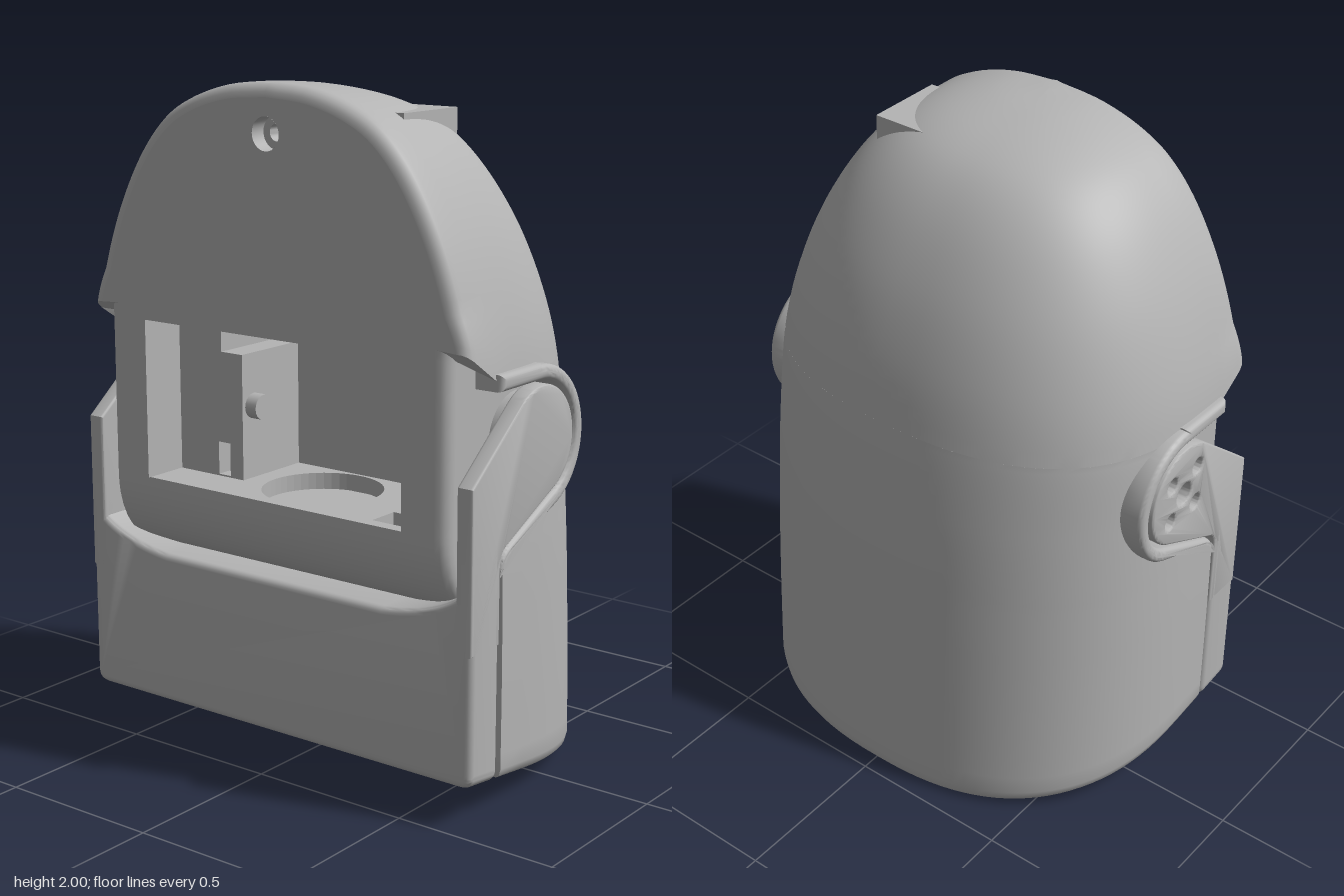
import * as THREE from 'three';
import { toCreasedNormals } from 'three/addons/utils/BufferGeometryUtils.js';

const FRONT = 0.45, LOW_FRONT = 0.305, POCKET_X = 0.615, SHELF_Y = 1.23;
const HINGE = { z: 0.12, y: 1.035 };
const clamp = THREE.MathUtils.clamp;

// half width (x), height (y) and back depth (z) of the shell
const profile = new THREE.CatmullRomCurve3([
  [0, 2, 0.4], [0.15, 1.987, 0.23], [0.29, 1.945, 0.06], [0.385, 1.89, -0.04], [0.478, 1.79, -0.135],
  [0.574, 1.62, -0.235], [0.642, 1.43, -0.307], [0.68, 1.25, -0.35], [0.693, 1, -0.388],
  [0.702, 0.7, -0.415], [0.705, 0.4, -0.435], [0.705, 0, -0.455],
].map((p) => new THREE.Vector3(...p))).getPoints(400);

// shell size at a height, with the outward direction of its front outline
function shellAt(y) {
  let i = 1;
  while (i < profile.length - 1 && profile[i].y > y) i++;
  const a = profile[i - 1], b = profile[i];
  const { x: w, z: zb } = a.clone().lerp(b, clamp((a.y - y) / (a.y - b.y), 0, 1));
  return { w, zb, out: new THREE.Vector2(a.y - b.y, b.x - a.x).normalize() };
}

// rear edge of the side pocket that takes the bracket arm
function pocketEdge(y) {
  if (y < 0.74) return LOW_FRONT;
  if (y < 0.847) return THREE.MathUtils.lerp(LOW_FRONT, 0.04, (y - 0.74) / 0.107);
  return HINGE.z - Math.sqrt(Math.max(0, 0.04 - (y - HINGE.y) ** 2));
}

// one horizontal section, from the front round one side to the back, then mirrored
function section({ y, pocket, scale = 1, lift = 0 }) {
  const { w, zb, out } = shellAt(y);
  let front = FRONT;
  if (y < 0.8) front = y <= 0.58 ? LOW_FRONT : LOW_FRONT + 0.145 * Math.sqrt(1 - ((0.8 - y) / 0.22) ** 2);
  const zc = zb + (FRONT - zb) * 0.72;
  const r = Math.min(0.04, (front - LOW_FRONT) * 0.5);
  const fx = pocket ? POCKET_X : w;
  const [nx, ny] = pocket ? [1, 0] : [out.x, out.y];
  const zs = pocket ? pocketEdge(y) : zc + (front - r - zc) * 0.5;
  const n = 2.45;
  const a0 = zs >= zc ? 0 : Math.asin(Math.pow((zc - zs) / (zc - zb), n / 2));
  const half = [];
  for (let i = 0; i <= 4; i++) { // rounded front edge
    const a = i * Math.PI / 8, inset = r * (1 - Math.sin(a));
    half.push([Math.max(0, fx - inset * nx), front - r * (1 - Math.cos(a)), -inset * ny]);
  }
  half.push([fx, zs, 0], [w * Math.pow(Math.cos(a0), 2 / n), zs, 0]);
  for (let i = 0; i <= 28; i++) {
    const a = a0 + (Math.PI / 2 - a0) * i / 28;
    half.push([w * Math.pow(Math.max(0, Math.cos(a)), 2 / n), zc - (zc - zb) * Math.pow(Math.sin(a), 2 / n), 0]);
  }
  half[half.length - 1][0] = 0;
  const ring = half.concat(half.slice(0, -1).reverse().map(([x, z, dy]) => [-x, z, dy]));
  return ring.map(([x, z, dy]) => {
    const slant = (0.12 - (FRONT - z) * 0.13) * Math.max(0, 1 - y / 0.5);
    const shoulder = 0.1 * clamp((z - 0.3) / 0.15, 0, 1) ** 1.3 * Math.max(0, 1 - Math.abs(y - SHELF_Y) / 0.2);
    return new THREE.Vector3(x * scale, y + dy + slant + shoulder + lift, z * scale - 0.04 * (1 - scale));
  });
}

function loft(rows, rings) {
  const pos = [], n = rings[0].length;
  for (let i = 0; i < rings.length - 1; i++) {
    for (let j = 0; j < n; j++) {
      if (j === n - 1 && rows[i + 1].y >= 0.8 - 1e-6) continue; // flat face is made separately
      const k = (j + 1) % n;
      const a = rings[i][j], b = rings[i][k], c = rings[i + 1][j], d = rings[i + 1][k];
      for (const v of [a, c, b, b, c, d]) pos.push(v.x, v.y, v.z);
    }
  }
  const g = new THREE.BufferGeometry();
  g.setAttribute('position', new THREE.Float32BufferAttribute(pos, 3));
  return toCreasedNormals(g, 0.6);
}

function rectPath(x0, y0, x1, y1) {
  return new THREE.Path([[x0, y0], [x0, y1], [x1, y1], [x1, y0]].map((p) => new THREE.Vector2(...p)));
}

const circle = (x, y, r) => new THREE.Path().absarc(x, y, r, 0, Math.PI * 2, true);

// extrude a (z, y) outline sideways between x0 and x1
function sidePlate(shape, x0, x1, bevel) {
  const g = new THREE.ExtrudeGeometry(shape, {
    depth: x1 - x0 - 2 * bevel, bevelSize: bevel, bevelThickness: bevel,
    bevelOffset: -bevel, bevelSegments: 4, curveSegments: 28,
  });
  g.rotateY(-Math.PI / 2).translate(x1 - bevel, 0, 0);
  return toCreasedNormals(g, 0.6);
}

export function createModel() {
  const group = new THREE.Group();
  const grey = new THREE.MeshStandardMaterial({ color: 0xb4b4b4, side: THREE.DoubleSide });
  grey.name = 'grey plastic';
  const add = (name, geometry, x = 0, y = 0, z = 0) => {
    const m = new THREE.Mesh(geometry, grey);
    m.name = name;
    m.position.set(x, y, z);
    group.add(m);
  };
  const block = (name, x0, x1, y0, y1, z0, z1) => add(name, new THREE.BoxGeometry(x1 - x0, y1 - y0, z1 - z0),
    (x0 + x1) / 2, (y0 + y1) / 2, (z0 + z1) / 2);

  // shell: dome, pocketed middle, lower body, rounded rim and underside recess
  const rows = [];
  for (let i = 0; i <= 36; i++) rows.push({ y: 2 - (2 - SHELF_Y) * (i / 36) ** 2 });
  for (let i = 0; i <= 24; i++) rows.push({ y: SHELF_Y - (SHELF_Y - 0.8) * i / 24, pocket: true });
  for (const y of [0.77, 0.74, 0.7, 0.66, 0.63, 0.61, 0.59, 0.58, 0.5, 0.35, 0.2, 0.1, 0.04]) rows.push({ y, pocket: true });
  rows.push({ y: 0.015, pocket: true, scale: 0.99 }, { y: 0, pocket: true, scale: 0.97 },
    { y: 0, pocket: true, scale: 0.93 }, { y: 0, pocket: true, scale: 0.92, lift: 0.14 },
    { y: 0, pocket: true, scale: 0.001, lift: 0.14 });
  const rings = rows.map(section);
  add('shell', loft(rows, rings));

  // flat face with the window and lens openings
  const edge = rings.filter((_, i) => rows[i].y >= 0.8 - 1e-6).map((r) => r[0]);
  const face = new THREE.Shape([...edge.map((p) => new THREE.Vector2(p.x, p.y)),
    ...edge.slice(1).reverse().map((p) => new THREE.Vector2(-p.x, p.y))]);
  face.holes.push(rectPath(-0.47, 0.81, 0.465, 1.29), circle(0, 1.86, 0.048));
  add('frontFace', new THREE.ShapeGeometry(face, 32), 0, 0, FRONT);

  // lens well
  const well = new THREE.LatheGeometry([[0.048, 0], [0.048, -0.05], [0.025, -0.05], [0.025, -0.11], [0, -0.11]]
    .map((p) => new THREE.Vector2(...p)), 28);
  add('lensWell', toCreasedNormals(well.rotateX(Math.PI / 2), 0.6), 0, 1.86, FRONT);

  // window compartment
  block('windowBack', -0.49, 0.485, 0.74, 1.31, 0.02, 0.04);
  block('windowCeiling', -0.49, 0.485, 1.29, 1.31, 0.04, 0.448);
  block('windowSide', -0.49, -0.47, 0.81, 1.29, 0.04, 0.448);
  block('windowSide', 0.465, 0.485, 0.81, 1.29, 0.04, 0.448);
  const floor = new THREE.Shape(rectPath(-0.49, -0.44, 0.485, -0.04).getPoints());
  floor.holes.push(circle(0.02, -0.23, 0.18), rectPath(0.33, -0.4, 0.43, -0.3));
  add('windowFloor', new THREE.ExtrudeGeometry(floor, { depth: 0.05, bevelEnabled: false, curveSegments: 24 })
    .rotateX(-Math.PI / 2), 0, 0.76, 0);
  block('floorBase', -0.49, 0.485, 0.74, 0.755, 0.04, 0.42);

  // component block with a slot and a peg
  const unit = new THREE.Shape(rectPath(-0.47, 0.81, -0.225, 1.19).getPoints());
  unit.holes.push(rectPath(-0.32, 0.815, -0.275, 0.915));
  add('componentBlock', new THREE.ExtrudeGeometry(unit, { depth: 0.26, bevelEnabled: false }), 0, 0, 0.04);
  block('componentTop', -0.47, -0.305, 1.19, 1.29, 0.04, 0.3);
  add('peg', new THREE.CylinderGeometry(0.038, 0.038, 0.05, 20).rotateZ(Math.PI / 2), -0.21, 1.03, 0.25);

  // wedge on the crown
  block('crownWedge', 0.19, 0.36, 1.8, 1.925, 0.05, 0.3);

  // bracket front plate
  const plate = new THREE.Shape();
  plate.moveTo(-0.665, 0.12).lineTo(0.665, 0.12).quadraticCurveTo(0.705, 0.12, 0.705, 0.16);
  plate.lineTo(0.705, 0.78).lineTo(0.65, 0.78).lineTo(0.65, 0.66).quadraticCurveTo(0.56, 0.6, 0.4, 0.585);
  plate.lineTo(-0.4, 0.585).quadraticCurveTo(-0.56, 0.6, -0.65, 0.66);
  plate.lineTo(-0.65, 0.78).lineTo(-0.705, 0.78).lineTo(-0.705, 0.16).quadraticCurveTo(-0.705, 0.12, -0.665, 0.12);
  const plateGeo = new THREE.ExtrudeGeometry(plate, {
    depth: 0.098, bevelSize: 0.02, bevelThickness: 0.02, bevelOffset: -0.02, bevelSegments: 4, curveSegments: 10,
  }).translate(0, 0, 0.337);
  const p = plateGeo.attributes.position;
  for (let i = 0; i < p.count; i++) if (p.getY(i) < 0.3) p.setY(i, p.getY(i) + (p.getZ(i) - 0.455) * 0.13);
  add('bracketPlate', toCreasedNormals(plateGeo, 0.6));

  for (const side of [1, -1]) {
    const span = (a, b) => (side > 0 ? [a, b] : [-b, -a]);

    // bracket arm, with screw holes on one side
    const arm = new THREE.Shape();
    arm.moveTo(0.317, 0.5).lineTo(0.455, 0.5).lineTo(0.455, 0.97);
    arm.absarc(HINGE.z, HINGE.y, 0.16, 0.885, 4.31, false);
    arm.lineTo(0.29, 0.775).quadraticCurveTo(0.317, 0.76, 0.317, 0.72);
    if (side < 0) {
      arm.holes.push(circle(HINGE.z, HINGE.y, 0.035));
      for (let i = 0; i < 4; i++) {
        const a = Math.PI / 4 + i * Math.PI / 2;
        arm.holes.push(circle(HINGE.z + 0.09 * Math.cos(a), HINGE.y + 0.09 * Math.sin(a), 0.024));
      }
    }
    add('bracketArm', sidePlate(arm, ...span(0.65, 0.705), 0.01));

    // raised lip around the pocket
    const lip = new THREE.Shape();
    lip.moveTo(0.32, HINGE.y + 0.22).lineTo(HINGE.z, HINGE.y + 0.22);
    lip.absarc(HINGE.z, HINGE.y, 0.215, Math.PI / 2, 4.31, false);
    lip.lineTo(0.25, 0.755).quadraticCurveTo(0.3, 0.735, 0.305, 0.69);
    lip.lineTo(0.315, 0.72).quadraticCurveTo(0.31, 0.755, 0.27, 0.775);
    lip.absarc(HINGE.z, HINGE.y, 0.172, 4.31, Math.PI / 2, true);
    lip.lineTo(0.32, HINGE.y + 0.172);
    add('pocketLip', sidePlate(lip, ...span(0.58, 0.705), 0.018));

    // hinge disc between shell and arm
    add('hingeDisc', new THREE.CylinderGeometry(0.135, 0.135, 0.06, 32).rotateZ(Math.PI / 2),
      side * 0.63, HINGE.y, HINGE.z);
  }

  // round mount in the underside recess
  const mount = new THREE.LatheGeometry([[0, 0.17], [0.1, 0.17], [0.1, 0.11], [0.15, 0.11], [0.15, 0.05],
    [0.16, 0.04], [0.225, 0.04], [0.235, 0.05], [0.235, 0.25]].map((q) => new THREE.Vector2(...q)), 48);
  add('baseMount', toCreasedNormals(mount, 0.6), 0.005, 0, -0.055);

  return group;
}
